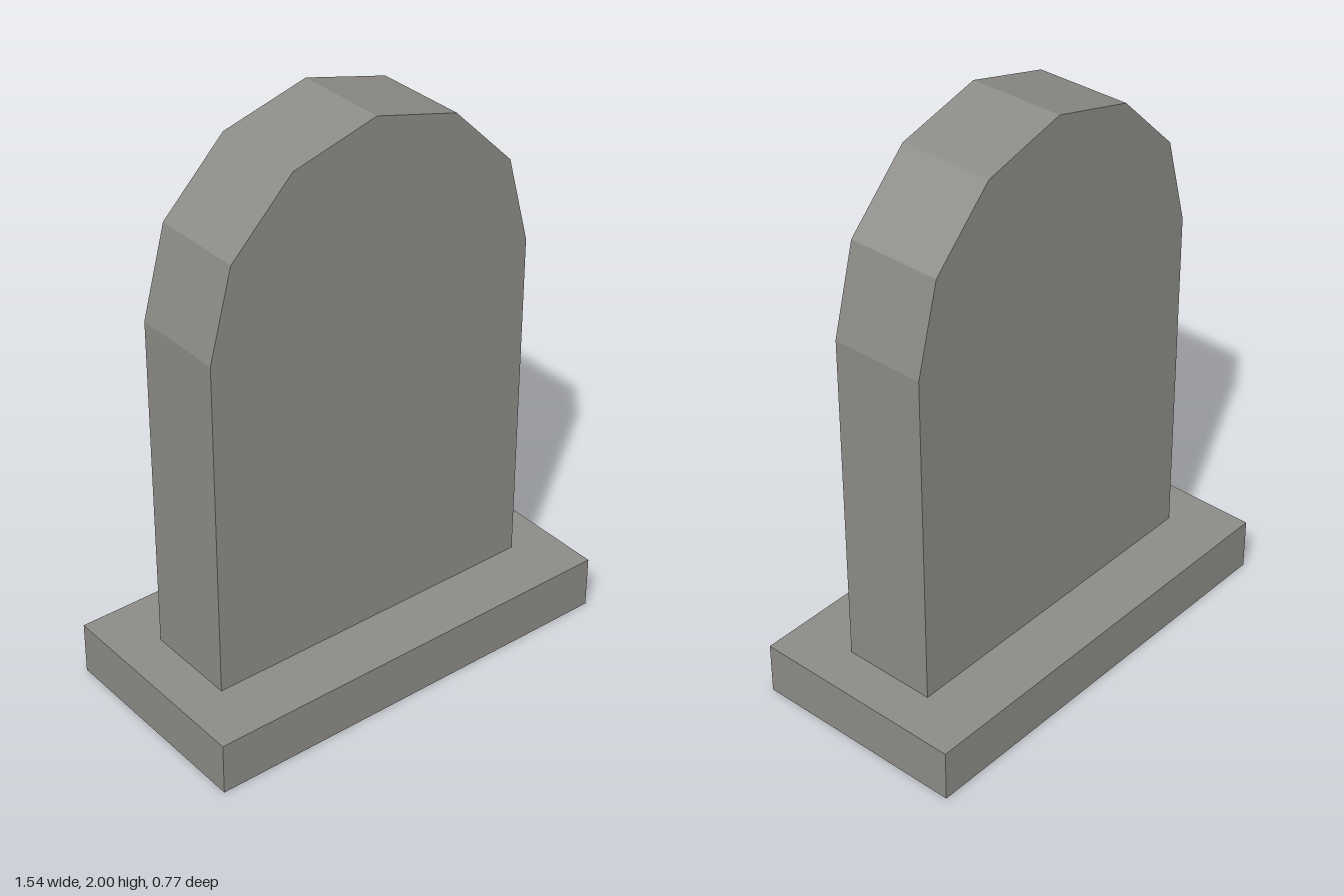
import * as THREE from 'three';

export function createModel() {
  const group = new THREE.Group();
  group.name = 'headstone';
  const stone = new THREE.MeshStandardMaterial({ color: 0x8c8b87 });
  stone.name = 'grey stone';
  stone.flatShading = true;

  // Rectangular plinth
  const baseHeight = 0.185;
  const base = new THREE.Mesh(new THREE.BoxGeometry(1.538, baseHeight, 0.769), stone);
  base.name = 'base';
  base.position.y = baseHeight / 2;
  group.add(base);

  // Upright slab with a six-sided arched top
  const radius = 0.615, springY = 2 - radius, depth = 0.334, segments = 6;
  const outline = [new THREE.Vector2(-radius, baseHeight), new THREE.Vector2(radius, baseHeight)];
  for (let i = 0; i <= segments; i++) {
    const a = (i / segments) * Math.PI;
    outline.push(new THREE.Vector2(radius * Math.cos(a), springY + radius * Math.sin(a)));
  }
  const slabGeometry = new THREE.ExtrudeGeometry(new THREE.Shape(outline), { depth, bevelEnabled: false });
  slabGeometry.translate(0, 0, -depth / 2);
  const slab = new THREE.Mesh(slabGeometry, stone);
  slab.name = 'slab';
  group.add(slab);

  return group;
}
